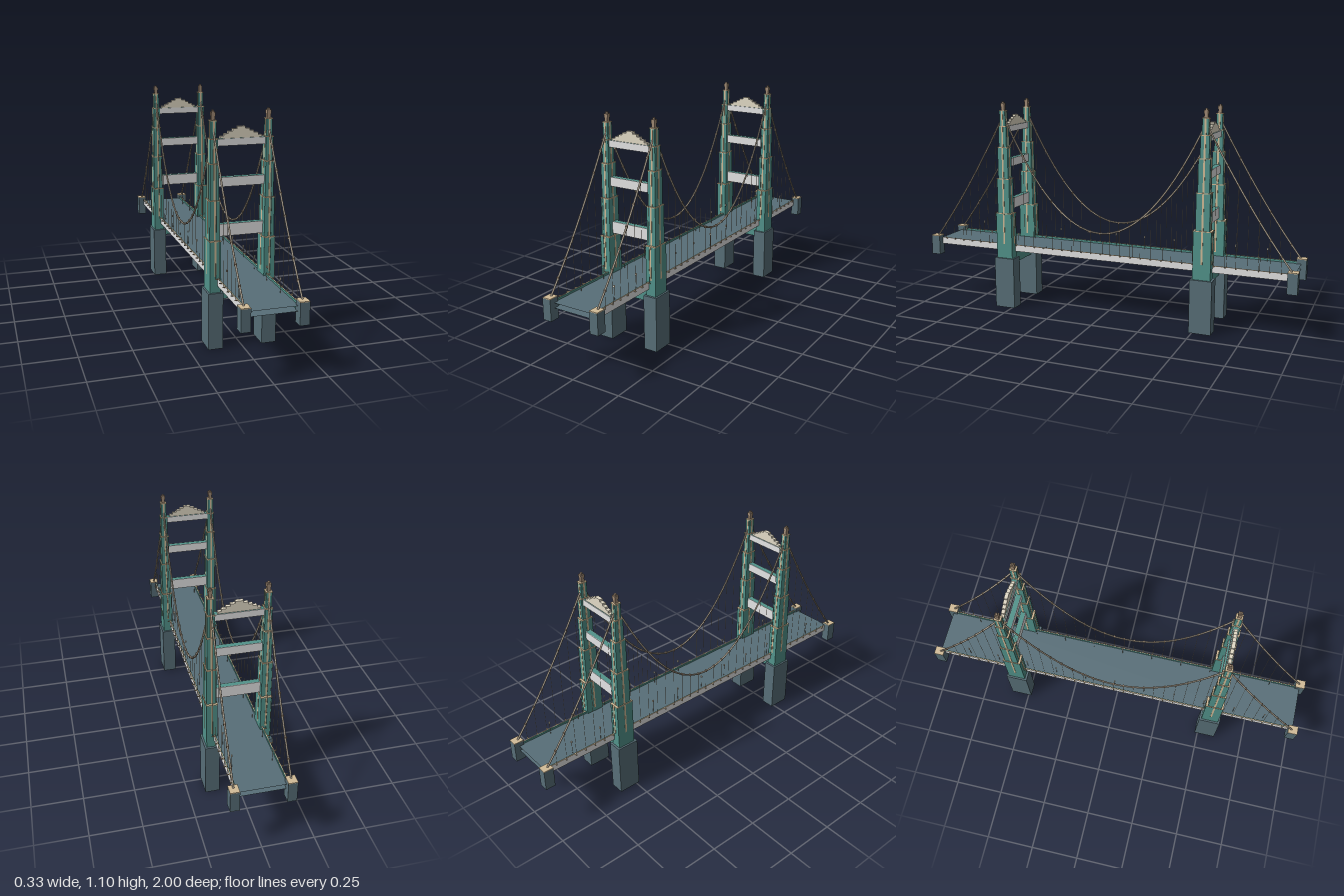
import * as THREE from 'three';

const mat = (name, color) => {
  const m = new THREE.MeshStandardMaterial({ color });
  m.name = name;
  return m;
};

export function createModel() {
  const teal = mat('teal steel', 0x52938b);
  const slate = mat('slate', 0x586f78);
  const grey = mat('pale grey panel', 0xe4e4e4);
  const cream = mat('cream stone', 0xe2dac6);
  const tan = mat('tan trim', 0xd2bc98);
  const bronze = mat('bronze', 0xa08a74);
  const cableGrey = mat('cable grey', 0xb3a795);
  slate.side = THREE.DoubleSide;

  const model = new THREE.Group();
  model.name = 'suspensionBridge';

  const X = 0.13, TOWER_Z = 0.54, STEP = 0.054;
  const unitBox = new THREE.BoxGeometry(1, 1, 1);
  // Same box without its bottom face, for the hollow piers and anchors
  const openBox = unitBox.clone();
  openBox.clearGroups();
  openBox.setIndex([...unitBox.index.array].filter((v, i) => i < 18 || i >= 24));

  // Box placed by its bottom y and top y
  function box(parent, name, m, w, y0, y1, d, x = 0, z = 0, geometry = unitBox) {
    const mesh = new THREE.Mesh(geometry, m);
    mesh.name = name;
    mesh.scale.set(w, y1 - y0, d);
    mesh.position.set(x, (y0 + y1) / 2, z);
    parent.add(mesh);
  }

  function rod(parent, name, m, r, y0, y1, x, z) {
    const mesh = new THREE.Mesh(new THREE.CylinderGeometry(r, r, y1 - y0, 6), m);
    mesh.name = name;
    mesh.position.set(x, (y0 + y1) / 2, z);
    parent.add(mesh);
  }

  // Stepped tower tiers: bottom, top, width, depth
  const tiers = [
    [0.27, 0.515, 0.052, 0.090],
    [0.515, 0.70, 0.047, 0.070],
    [0.70, 0.865, 0.040, 0.058],
    [0.865, 0.975, 0.034, 0.044],
    [0.975, 1.055, 0.027, 0.032],
  ];

  function towerLeg(x) {
    const leg = new THREE.Group();
    leg.name = 'towerLeg';
    leg.position.x = x;
    box(leg, 'pier', slate, 0.07, 0, 0.272, 0.112, 0, 0, openBox);
    tiers.forEach(([y0, y1, w, d], i) => {
      box(leg, 'tier', teal, w, y0, y1, d);
      box(leg, 'tierLedge', tan, w + 0.003, y1 - 0.003, y1 + 0.001, d + 0.003);
      // Vertical trim down the middle of every face
      const low = i === 0 ? 0.35 : y0;
      box(leg, 'frontTrim', tan, 0.008, low, y1, d + 0.003);
      box(leg, 'sideTrim', tan, w + 0.003, low, y1, 0.009);
    });
    // Finial
    box(leg, 'finialBase', bronze, 0.016, 1.055, 1.075, 0.018);
    box(leg, 'finialHead', bronze, 0.020, 1.075, 1.092, 0.020);
    box(leg, 'finialTip', bronze, 0.010, 1.092, 1.10, 0.010);
    return leg;
  }

  for (const s of [-1, 1]) {
    const tower = new THREE.Group();
    tower.name = s > 0 ? 'frontTower' : 'backTower';
    tower.position.z = s * TOWER_Z;
    tower.add(towerLeg(-X), towerLeg(X));
    // Beam carrying the deck
    box(tower, 'deckBeam', teal, 0.21, 0.232, 0.285, 0.05);
    // Portal struts with pale faces
    for (const [y0, y1] of [[0.528, 0.585], [0.757, 0.80], [0.941, 0.973]]) {
      box(tower, 'strut', teal, 0.23, y0, y1, 0.024);
      for (const f of [-1, 1])
        box(tower, 'strutPanel', grey, 0.23, y0, y1, 0.003, 0, f * 0.0125);
    }
    // Stepped crest
    [0.097, 0.08, 0.06, 0.04, 0.018].forEach((half, i) =>
      box(tower, 'crestStep', cream, half * 2, 0.973 + i * 0.0104, 0.9834 + i * 0.0104, 0.018));
    model.add(tower);
  }

  // Deck: open-ended road surface and underside
  const deck = new THREE.Group();
  deck.name = 'deck';
  model.add(deck);
  for (const [name, y, turn] of [['roadway', 0.33, -1], ['underside', 0.306, 1]]) {
    const mesh = new THREE.Mesh(new THREE.PlaneGeometry(0.23, 1.95), slate);
    mesh.name = name;
    mesh.rotation.x = turn * Math.PI / 2;
    mesh.position.y = y;
    deck.add(mesh);
  }
  for (const s of [-1, 1]) {
    box(deck, 'parapet', teal, 0.004, 0.306, 0.34, 1.9, s * 0.115);
    box(deck, 'girderPanel', grey, 0.003, 0.305, 0.34, 1.9, s * 0.1185);
    box(deck, 'girderRail', tan, 0.004, 0.338, 0.341, 1.9, s * 0.118);
    // Brackets reaching out to the hangers
    for (let k = -17; k <= 17; k++)
      box(deck, 'hangerBracket', tan, 0.013, 0.337, 0.341, 0.004, s * 0.1255, k * STEP);
  }

  // Street lamps
  for (const s of [-1, 1])
    for (let k = -5; k <= 5; k++) {
      rod(deck, 'lampPost', bronze, 0.001, 0.33, 0.393, s * 0.095, k * STEP * 3);
      box(deck, 'lampHead', cream, 0.006, 0.39, 0.40, 0.006, s * 0.095, k * STEP * 3);
    }

  // Cable height along the bridge: parabola inside, slight sag outside
  const TOP = 1.03, LOW = 0.45, END_Z = 0.97, END_Y = 0.352;
  function cableY(z) {
    const a = Math.abs(z);
    if (a <= TOWER_Z) return LOW + (TOP - LOW) * (a / TOWER_Z) ** 2;
    const t = (a - TOWER_Z) / (END_Z - TOWER_Z);
    return TOP + (END_Y - TOP) * t - 0.12 * t * (1 - t);
  }

  function cable(x, z0, z1) {
    const pts = [];
    for (let i = 0; i <= 24; i++) {
      const z = z0 + (z1 - z0) * i / 24;
      pts.push(new THREE.Vector3(x, cableY(z), z));
    }
    const tube = new THREE.TubeGeometry(new THREE.CatmullRomCurve3(pts), 48, 0.0045, 8);
    const mesh = new THREE.Mesh(tube, cableGrey);
    mesh.name = 'mainCable';
    model.add(mesh);
  }

  for (const x of [-X, X]) {
    cable(x, -END_Z, -TOWER_Z);
    cable(x, -TOWER_Z, TOWER_Z);
    cable(x, TOWER_Z, END_Z);
    // Hangers and cable clamps
    for (let k = -17; k <= 17; k++) {
      if (Math.abs(k) === 10) continue;
      const z = k * STEP, y = cableY(z);
      rod(model, 'hanger', cableGrey, 0.0009, 0.338, y, x, z);
      box(model, 'cableClamp', bronze, 0.011, y - 0.0055, y + 0.0055, 0.006, x, z);
    }
    // Anchor blocks
    for (const z of [-0.975, 0.975]) {
      box(model, 'anchorBlock', slate, 0.044, 0.25, 0.352, 0.05, x, z, openBox);
      box(model, 'anchorCap', tan, 0.044, 0.352, 0.356, 0.05, x, z);
    }
  }
  return model;
}
